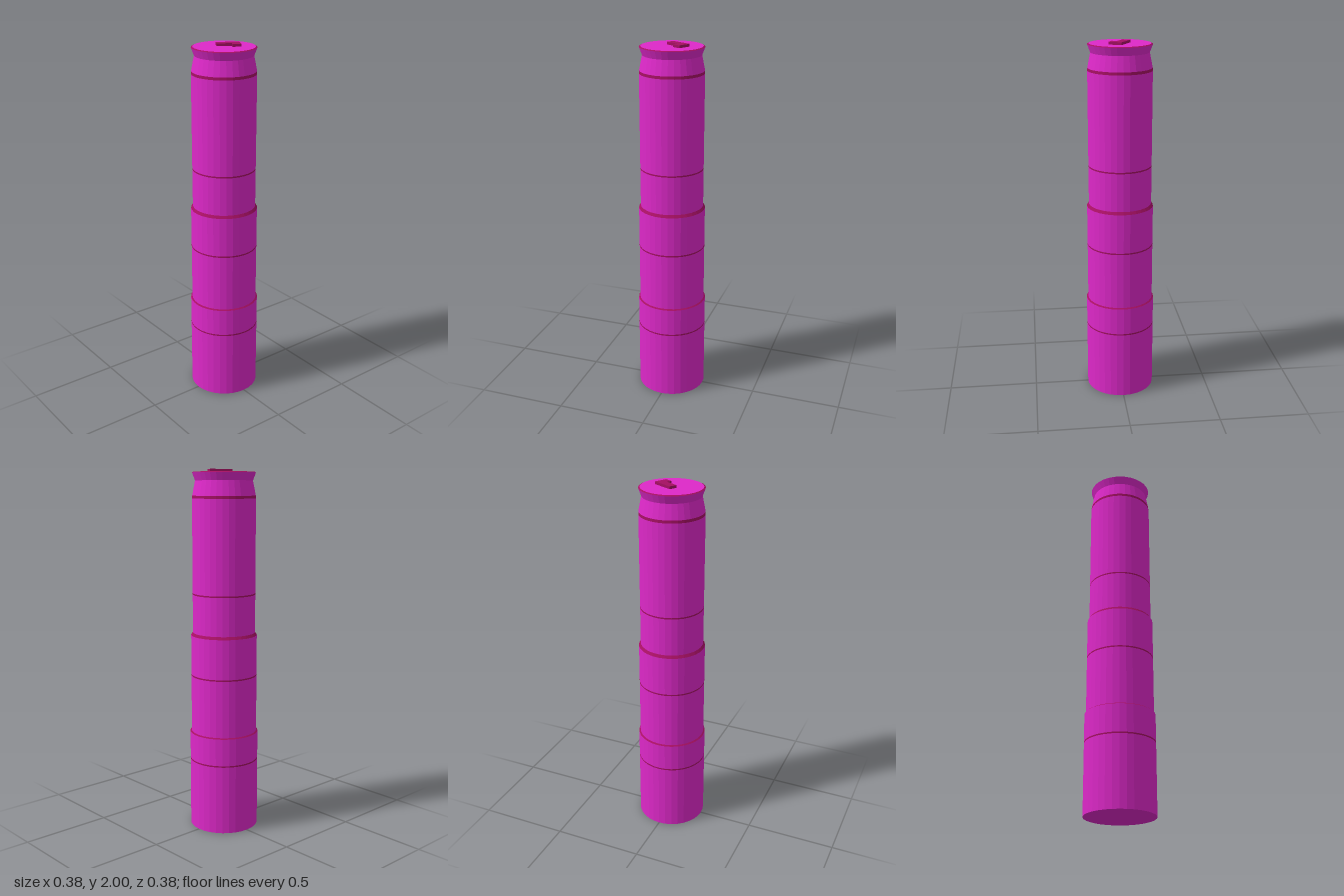
import * as THREE from 'three';

const SIDES = 32;
const magenta = new THREE.MeshStandardMaterial({ color: 0xdd28c8, flatShading: true });
const crimson = new THREE.MeshStandardMaterial({ color: 0xa51062, flatShading: true });

export function createModel() {
  const group = new THREE.Group();

  const add = (name, geometry, material) => {
    const mesh = new THREE.Mesh(geometry, material);
    mesh.name = name;
    group.add(mesh);
    return mesh;
  };

  // Open ring of wall between two heights
  const band = (name, y0, y1, r0, r1, material) => {
    const geometry = new THREE.CylinderGeometry(r1, r0, y1 - y0, SIDES, 1, true);
    add(name, geometry, material).position.y = (y0 + y1) / 2;
  };

  // Three telescoping sections, each with a thin painted stripe and a bevelled shoulder
  const sections = [
    { name: 'lower', y0: 0, stripe: 0.39, y1: 0.547, top: 0.553, r: 0.191, next: 0.183 },
    { name: 'middle', y0: 0.553, stripe: 0.875, y1: 1.1, top: 1.115, r: 0.183, next: 0.173 },
    { name: 'upper', y0: 1.115, stripe: 1.33, y1: 1.845, top: 1.86, r: 0.173, next: 0.172 },
  ];
  for (const s of sections) {
    band(s.name + 'Wall', s.y0, s.stripe - 0.004, s.r, s.r, magenta);
    band(s.name + 'Stripe', s.stripe - 0.004, s.stripe + 0.004, s.r, s.r, crimson);
    band(s.name + 'UpperWall', s.stripe + 0.004, s.y1, s.r, s.r, magenta);
    band(s.name + 'Shoulder', s.y1, s.top, s.r, s.next, crimson);
  }

  // Tapered neck, flared lip and its thin rim
  band('neck', 1.86, 1.94, 0.172, 0.156, magenta);
  band('flaredLip', 1.94, 1.982, 0.156, 0.172, magenta);
  band('rim', 1.982, 1.986, 0.172, 0.164, crimson);

  // Closing discs
  const lid = add('lid', new THREE.CircleGeometry(0.164, SIDES).rotateX(-Math.PI / 2), magenta);
  lid.position.y = 1.986;
  add('base', new THREE.CircleGeometry(0.191, SIDES).rotateX(Math.PI / 2), magenta);

  // Raised L-shaped tab on the lid, outlined in x and z
  const outline = [
    [-0.012, -0.056], [0.096, 0.003], [0.061, 0.066],
    [0.021, 0.045], [0.035, 0.02], [-0.034, -0.019],
  ].map(([x, z]) => new THREE.Vector2(x, z));
  const tab = new THREE.ExtrudeGeometry(new THREE.Shape(outline), { depth: 0.016, bevelEnabled: false });
  add('lidTab', tab.rotateX(Math.PI / 2), crimson).position.y = 2;

  return group;
}
